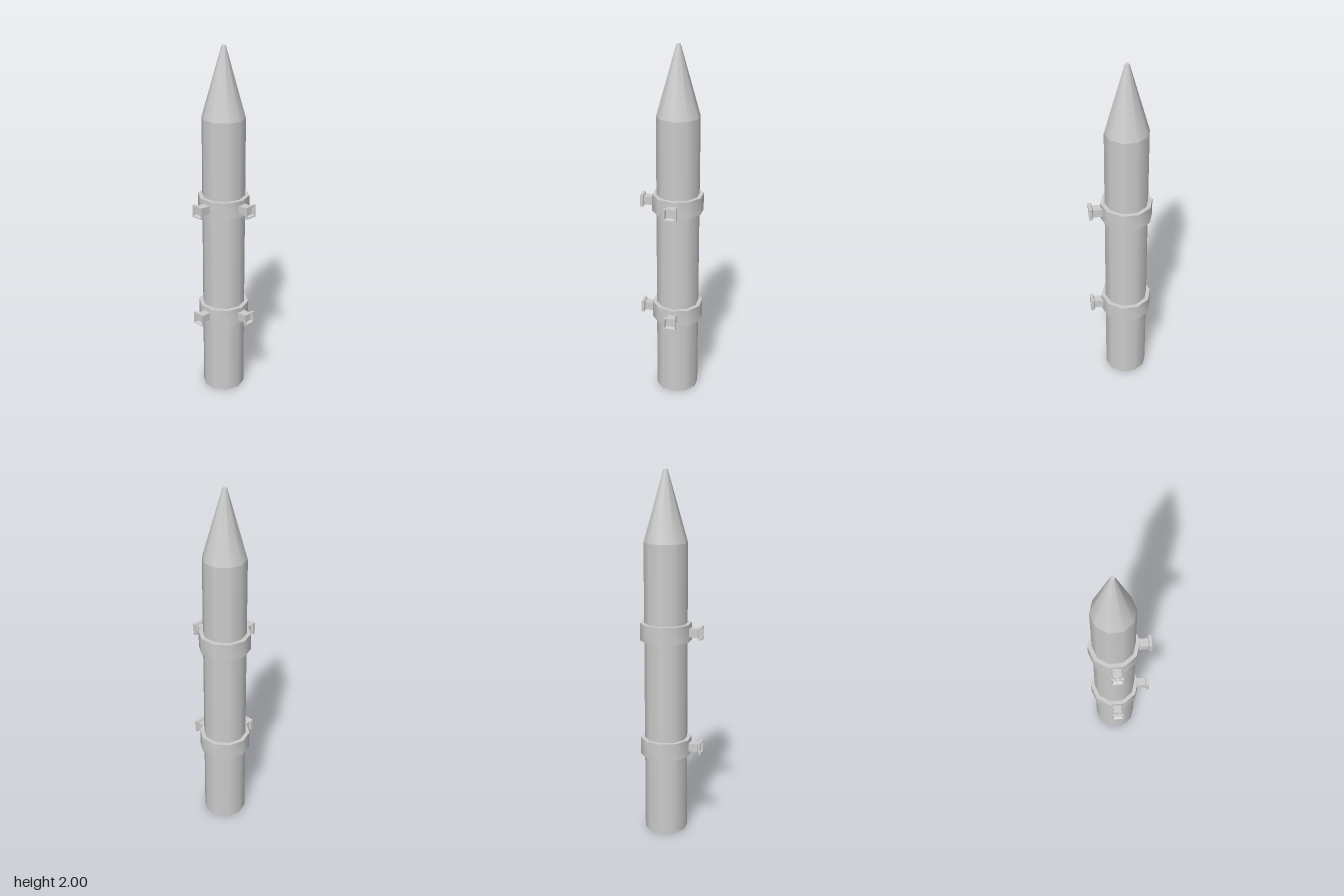
import * as THREE from 'three';
import { toCreasedNormals } from 'three/addons/utils/BufferGeometryUtils.js';

const SIDES = 10;
const POST_R = 0.118;
const BAND_R = 0.141;

const points = (list) => list.map(([r, y]) => new THREE.Vector2(r, y));

export function createModel() {
  const model = new THREE.Group();
  model.name = 'bandedPost';
  const grey = new THREE.MeshStandardMaterial({ color: 0xcccccc, side: THREE.DoubleSide });
  const faceted = new THREE.MeshStandardMaterial({ color: 0xcccccc, side: THREE.DoubleSide, flatShading: true });

  const add = (parent, name, geometry, material = grey) => {
    const mesh = new THREE.Mesh(geometry, material);
    mesh.name = name;
    parent.add(mesh);
    return mesh;
  };

  // Everything is arranged around the post axis
  const post = new THREE.Group();
  post.name = 'post';
  post.position.set(0.034, 0, -0.033);
  model.add(post);

  // Shaft, open at the foot
  add(post, 'shaft', new THREE.CylinderGeometry(POST_R, POST_R, 1.62, SIDES, 1, true)).position.y = 0.81;

  // Tapered point with a small flat tip
  add(post, 'taperedPoint', new THREE.CylinderGeometry(0.011, POST_R, 0.38, SIDES, 1, true)).position.y = 1.81;
  add(post, 'tip', new THREE.CircleGeometry(0.011, SIDES).rotateX(-Math.PI / 2).rotateY(Math.PI / 2)).position.y = 2;

  // Collar that hugs the shaft
  const bandGeometry = toCreasedNormals(new THREE.LatheGeometry(points([
    [POST_R, -0.048], [BAND_R, -0.048], [BAND_R, 0.048], [POST_R, 0.048],
  ]), SIDES), 0.8);

  // Square stub: arm, flared head, recessed face; [half width, distance from axis]
  const stubProfile = [
    [0.023, 0.12], [0.023, 0.184], [0.034, 0.189], [0.034, 0.204],
    [0.028, 0.204], [0.023, 0.187], [0, 0.187],
  ];
  const stubGeometry = new THREE.LatheGeometry(
    points(stubProfile.map(([w, d]) => [w * Math.SQRT2, d])), 4, Math.PI / 4)
    .rotateX(Math.PI / 2);

  // Two collars, each with a stub to the front and one to the side
  [['lower', 0.488], ['upper', 1.138]].forEach(([level, y]) => {
    const collar = new THREE.Group();
    collar.name = level + 'Collar';
    collar.position.y = y;
    post.add(collar);
    add(collar, level + 'Band', bandGeometry);
    add(collar, level + 'FrontStub', stubGeometry, faceted);
    add(collar, level + 'SideStub', stubGeometry, faceted).rotation.y = -Math.PI / 2;
  });

  return model;
}
